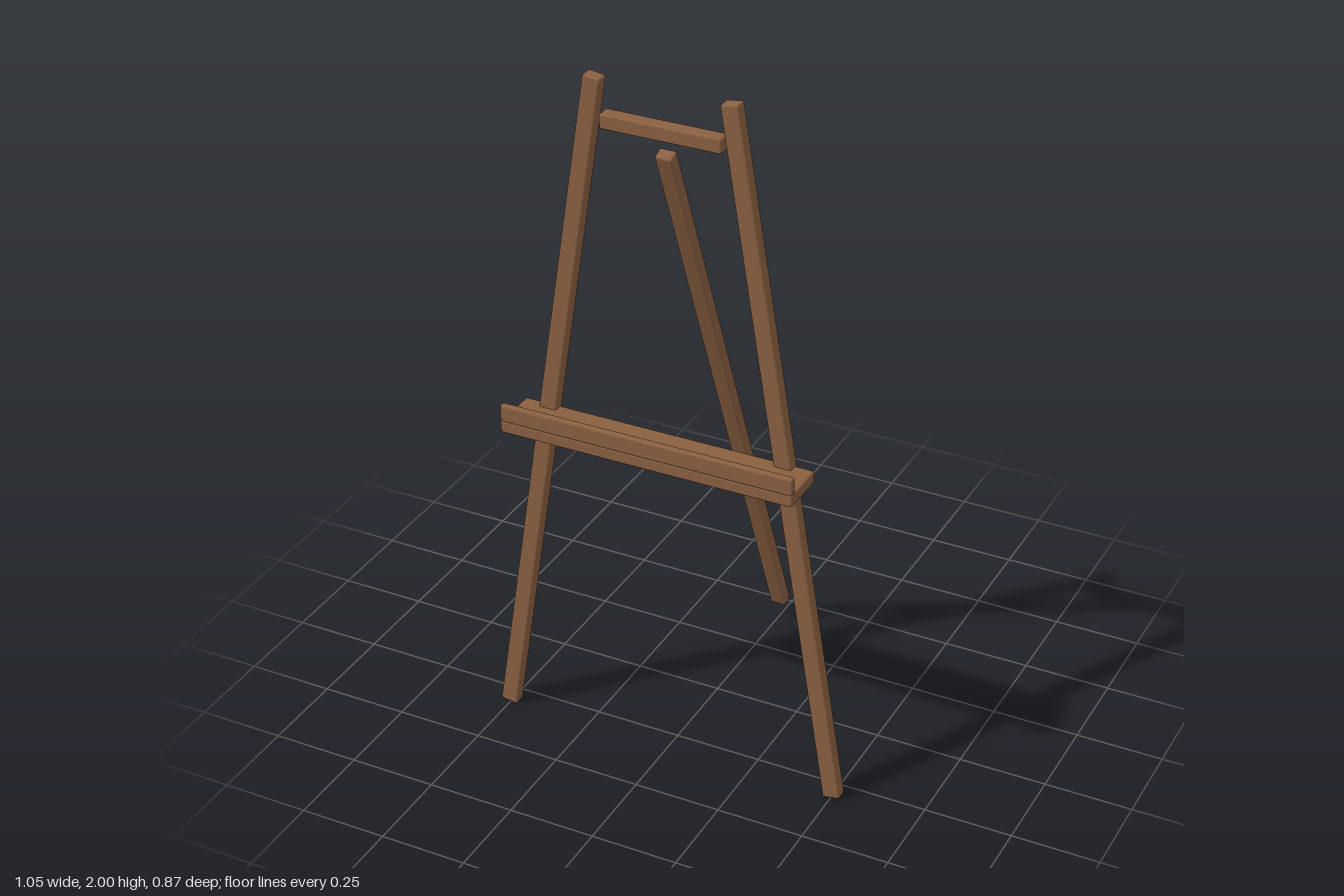
import * as THREE from 'three';
import { RoundedBoxGeometry } from 'three/addons/geometries/RoundedBoxGeometry.js';

const wood = new THREE.MeshStandardMaterial({ color: 0x8a6041 });
wood.name = 'brown wood';

// Softly rounded wooden bar centred on a point
function bar(name, size, position) {
  const mesh = new THREE.Mesh(new RoundedBoxGeometry(...size, 2, 0.006), wood);
  mesh.name = name;
  mesh.position.set(...position);
  return mesh;
}

// Bar running between two end points, tilted in the front or side plane
function strut(name, width, depth, bottom, top) {
  const a = new THREE.Vector3(...bottom);
  const b = new THREE.Vector3(...top);
  const mid = a.clone().add(b).multiplyScalar(0.5);
  const mesh = bar(name, [width, a.distanceTo(b), depth], mid.toArray());
  const direction = b.sub(a).normalize();
  mesh.quaternion.setFromUnitVectors(new THREE.Vector3(0, 1, 0), direction);
  return mesh;
}

export function createModel() {
  const easel = new THREE.Group();
  easel.name = 'easel';

  // Splayed front legs
  for (const [side, s] of [['left', 1], ['right', -1]]) {
    easel.add(strut(`${side}FrontLeg`, 0.05, 0.038, [s * 0.503, 0.004, 0.303], [s * 0.19, 1.996, 0.303]));
  }

  // Leaning rear leg
  easel.add(strut('rearLeg', 0.048, 0.036, [0, 0.057, -0.419], [0, 1.813, 0.29]));

  // Rail joining the legs near the top
  easel.add(bar('topRail', [0.34, 0.042, 0.042], [0, 1.88, 0.302]));

  // Canvas shelf with a raised front lip
  const tray = new THREE.Group();
  tray.name = 'tray';
  tray.add(bar('shelf', [0.85, 0.036, 0.14], [0, 0.991, 0.363]));
  tray.add(bar('shelfLip', [0.85, 0.05, 0.02], [0, 1.031, 0.423]));
  easel.add(tray);

  return easel;
}
